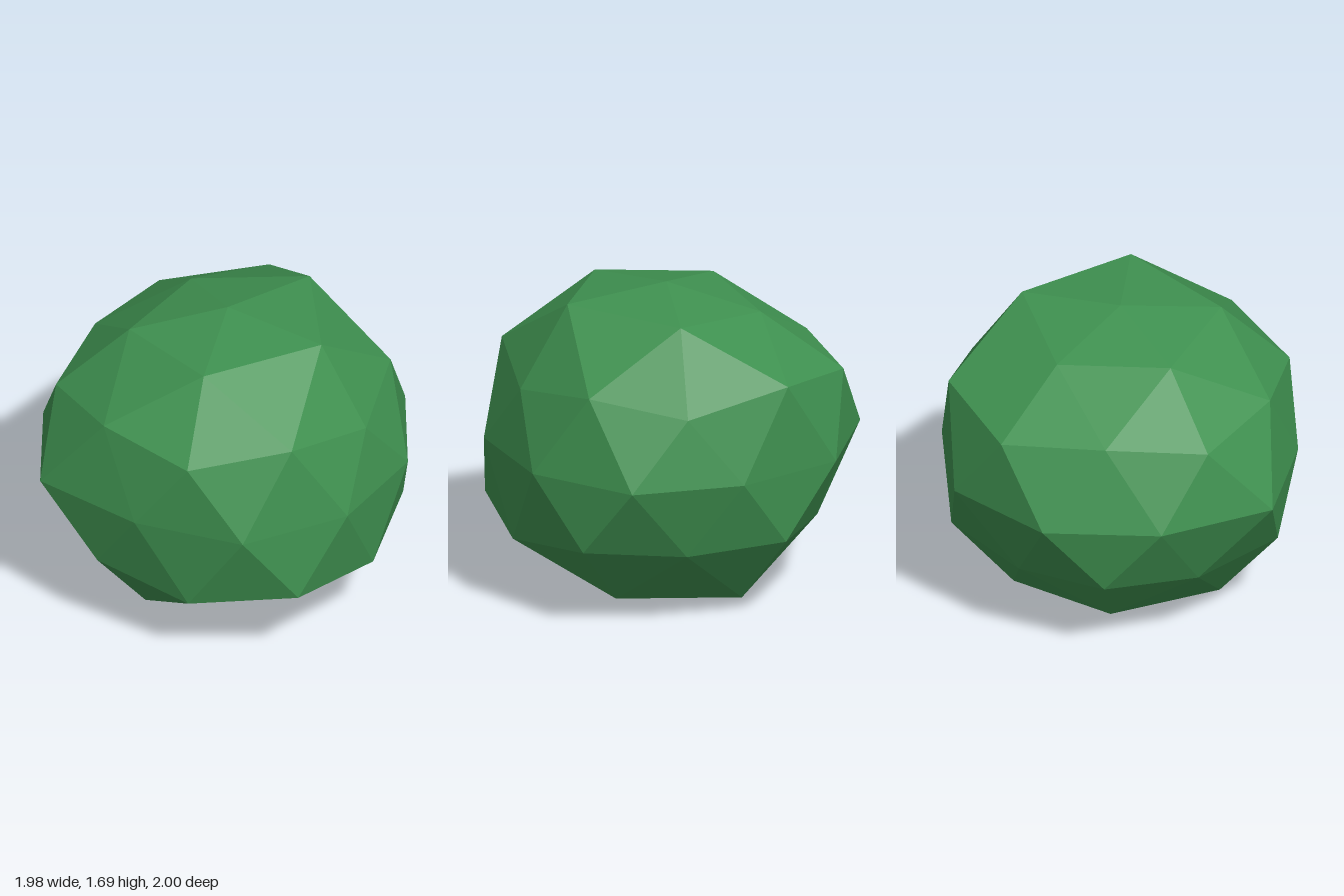
import * as THREE from 'three';

const CENTRE = new THREE.Vector3(0.02, 0.86, 0.03);
const SQUASH = 0.85; // flattening in y

// Rings of a once-subdivided icosahedron: unit radius, unit height, first angle,
// and how far each vertex is pushed out along its own direction
const RINGS = {
  capTop: [0.5257, 0.8507, 0, [1.075, 1.1, 1.035, 0.99, 0.96]],
  upper: [0.8944, 0.4472, 0, [0.95, 0.955, 1.02, 1.015, 1.06]],
  upperMid: [0.8507, 0.5257, 36, [1.01, 1.035, 1.01, 0.965, 1.09]],
  equator: [1, 0, 18, [1.01, 0.975, 0.97, 1.01, 0.94, 1.07, 1, 1.03, 1.015, 0.945]],
  lowerMid: [0.8507, -0.5257, 0, [0.945, 1.055, 1.05, 0.95, 0.95]],
  lower: [0.8944, -0.4472, 36, [1.035, 1.085, 1.01, 1, 1.02]],
  capBottom: [0.5257, -0.8507, 36, [1.065, 0.95, 1.085, 1.03, 1.095]],
};

// Returns a wrap-around lookup for the vertices of one ring
function ring([radius, height, start, push]) {
  const points = push.map((s, i) => {
    const a = THREE.MathUtils.degToRad(start + (360 / push.length) * i);
    return new THREE.Vector3(
      radius * s * Math.cos(a), height * s * SQUASH, radius * s * Math.sin(a));
  });
  return (i) => points[(i + points.length) % points.length];
}

function lumpGeometry() {
  const top = new THREE.Vector3(0, 0.83, 0);
  const bottom = new THREE.Vector3(0, -0.86, 0);
  const [A, B, M, E, N, C, D] = Object.values(RINGS).map(ring);
  const positions = [];
  const normal = new THREE.Vector3();

  // Adds a triangle, turned so that it faces outward
  const face = (a, b, c) => {
    normal.subVectors(b, a).cross(c.clone().sub(a));
    const corners = normal.dot(a) > 0 ? [a, b, c] : [a, c, b];
    corners.forEach((p) => positions.push(p.x, p.y, p.z));
  };

  for (let k = 0; k < 5; k++) {
    const e = 2 * k;
    // Top cap
    face(top, A(k), A(k + 1));
    face(A(k), B(k), M(k));
    face(A(k), M(k), A(k + 1));
    face(M(k), B(k + 1), A(k + 1));
    // Middle band, triangles pointing down
    face(B(k), E(e), M(k));
    face(M(k), E(e), E(e + 1));
    face(M(k), E(e + 1), B(k + 1));
    face(E(e), C(k), E(e + 1));
    // Middle band, triangles pointing up
    face(B(k), E(e - 1), E(e));
    face(E(e - 1), C(k - 1), N(k));
    face(E(e - 1), N(k), E(e));
    face(E(e), N(k), C(k));
    // Bottom cap
    face(D(k - 1), N(k), C(k - 1));
    face(D(k - 1), D(k), N(k));
    face(N(k), D(k), C(k));
    face(bottom, D(k), D(k - 1));
  }

  const geometry = new THREE.BufferGeometry();
  geometry.setAttribute('position', new THREE.Float32BufferAttribute(positions, 3));
  geometry.computeVertexNormals(); // unshared corners keep the facets flat
  return geometry;
}

export function createModel() {
  const group = new THREE.Group();
  group.name = 'bush';
  const leafGreen = new THREE.MeshStandardMaterial({ color: 0x3f9150, flatShading: true });
  leafGreen.name = 'leafGreen';
  const foliage = new THREE.Mesh(lumpGeometry(), leafGreen);
  foliage.name = 'foliage';
  foliage.position.copy(CENTRE);
  group.add(foliage);
  return group;
}
